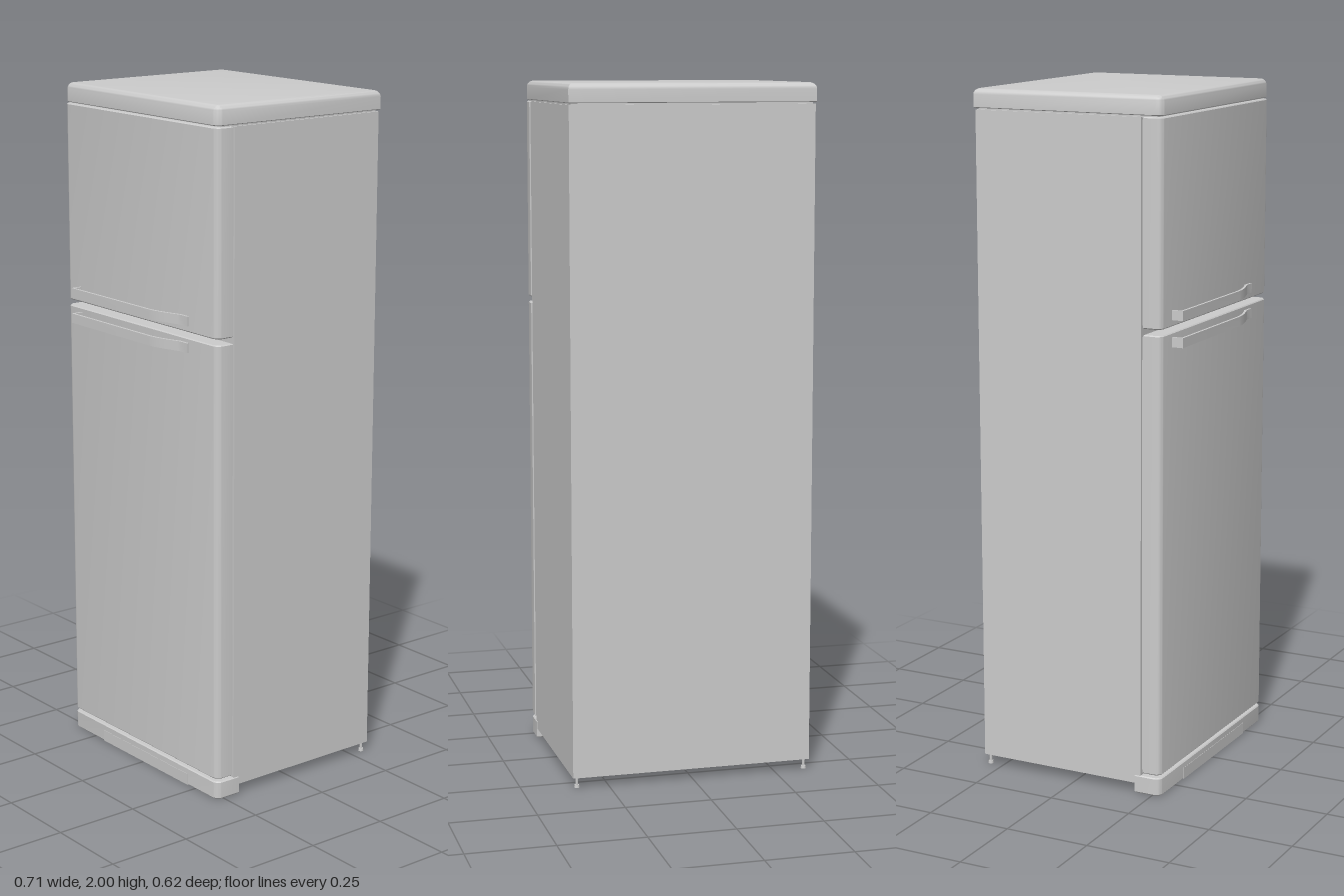
import * as THREE from 'three';
import { toCreasedNormals } from 'three/addons/utils/BufferGeometryUtils.js';

const W = 0.357, FRONT = 0.277, BACK = -0.305;
const material = new THREE.MeshStandardMaterial({ color: 0xcccccc });

// Footprint with rounded front corners, counter-clockwise from above
function footprint(w, zb, zf, r) {
  const ring = [[w, zb], [-w, zb]], n = 8;
  for (const side of [-1, 1])
    for (let i = 0; i <= n; i++) {
      const t = i / n * Math.PI / 2;
      const a = side < 0 ? Math.PI - t : Math.PI / 2 - t;
      ring.push([side * (w - r) + r * Math.cos(a), zf - r + r * Math.sin(a)]);
    }
  return ring;
}

// Loft the footprint through levels of [height, inset] and close both ends
function slab(w, zb, zf, r, levels) {
  const pos = [], idx = [];
  const rings = levels.map(([y, i]) =>
    footprint(w - i, zb + i, zf - i, Math.max(r - i, 0.002)).map(([x, z]) => [x, y, z]));
  const n = rings[0].length, last = (rings.length - 1) * n;
  rings.forEach(ring => ring.forEach(p => pos.push(...p)));
  for (let k = 0; k < rings.length - 1; k++)
    for (let i = 0; i < n; i++) {
      const j = (i + 1) % n, a = k * n + i, b = k * n + j;
      idx.push(a, b, b + n, a, b + n, a + n);
    }
  for (let i = 1; i < n - 1; i++) {
    idx.push(0, i + 1, i);
    idx.push(last, last + i, last + i + 1);
  }
  const g = new THREE.BufferGeometry();
  g.setAttribute('position', new THREE.Float32BufferAttribute(pos, 3));
  g.setIndex(idx);
  return toCreasedNormals(g, 0.6);
}

// Plain vertical slab with slightly eased top and bottom edges
const eased = (y0, y1, e = 0.003) => [[y0, e], [y0 + e, 0], [y1 - e, 0], [y1, e]];

// Flat bar: square return at the left end, curving back to the door at the right
function handleGeometry(height) {
  const s = new THREE.Shape();
  s.moveTo(-0.289, FRONT - 0.002);
  s.lineTo(-0.289, 0.31);
  s.lineTo(0.09, 0.31);
  s.bezierCurveTo(0.13, 0.308, 0.17, 0.293, 0.2, 0.284);
  s.lineTo(0.232, 0.284);
  s.lineTo(0.232, FRONT - 0.002);
  s.lineTo(0.2, FRONT - 0.002);
  s.bezierCurveTo(0.17, 0.287, 0.13, 0.3, 0.09, 0.303);
  s.lineTo(-0.282, 0.303);
  s.lineTo(-0.282, FRONT - 0.002);
  const g = new THREE.ExtrudeGeometry(s, { depth: height, bevelEnabled: false, curveSegments: 12 });
  g.rotateX(Math.PI / 2);
  g.translate(0, height, 0);
  return toCreasedNormals(g, 0.5);
}

export function createModel() {
  const model = new THREE.Group();
  const add = (name, geometry, x = 0, y = 0, z = 0) => {
    const mesh = new THREE.Mesh(geometry, material);
    mesh.name = name;
    mesh.position.set(x, y, z);
    model.add(mesh);
    return mesh;
  };
  const box = (name, x0, x1, y0, y1, z0, z1) =>
    add(name, new THREE.BoxGeometry(x1 - x0, y1 - y0, z1 - z0),
      (x0 + x1) / 2, (y0 + y1) / 2, (z0 + z1) / 2);

  // Cabinet, with a narrow neck that leaves a shadow gap under the lid
  box('cabinet', -W + 0.002, W - 0.002, 0.03, 1.94, BACK, 0.214);
  box('lidNeck', -W + 0.008, W - 0.008, 1.938, 1.947, BACK + 0.006, 0.26);

  // Lid with a rounded top edge
  const levels = [[1.945, 0.002], [1.947, 0]], r = 0.018;
  for (let i = 0; i <= 6; i++) {
    const t = i / 6 * Math.PI / 2;
    levels.push([2 - r + r * Math.sin(t), r * (1 - Math.cos(t))]);
  }
  add('lid', slab(W, -0.31, FRONT, 0.025, levels));

  // Doors with their recessed gaskets
  for (const [name, y0, y1] of [['freezerDoor', 1.362, 1.941], ['fridgeDoor', 0.064, 1.345]]) {
    add(name, slab(W, 0.221, FRONT, 0.022, eased(y0, y1)));
    box(name + 'Gasket', -W + 0.01, W - 0.01, y0 + 0.008, y1 - 0.008, 0.212, 0.223);
  }

  // Door handles on either side of the gap
  add('freezerHandle', handleGeometry(0.028), 0, 1.38, 0);
  add('fridgeHandle', handleGeometry(0.028), 0, 1.304, 0);

  // Plinth below the doors, with a shallow service panel
  add('plinth', slab(W, 0.196, FRONT, 0.022, eased(0.002, 0.055)));
  box('plinthPanel', -0.2, 0.22, 0.002, 0.036, 0.27, FRONT + 0.001);

  // Rear levelling feet
  for (const side of [-1, 1]) {
    add('rearFootStem', new THREE.CylinderGeometry(0.004, 0.004, 0.03, 12), side * 0.342, 0.017, -0.293);
    add('rearFootPad', new THREE.CylinderGeometry(0.007, 0.008, 0.008, 12), side * 0.342, 0.004, -0.293);
  }
  return model;
}
